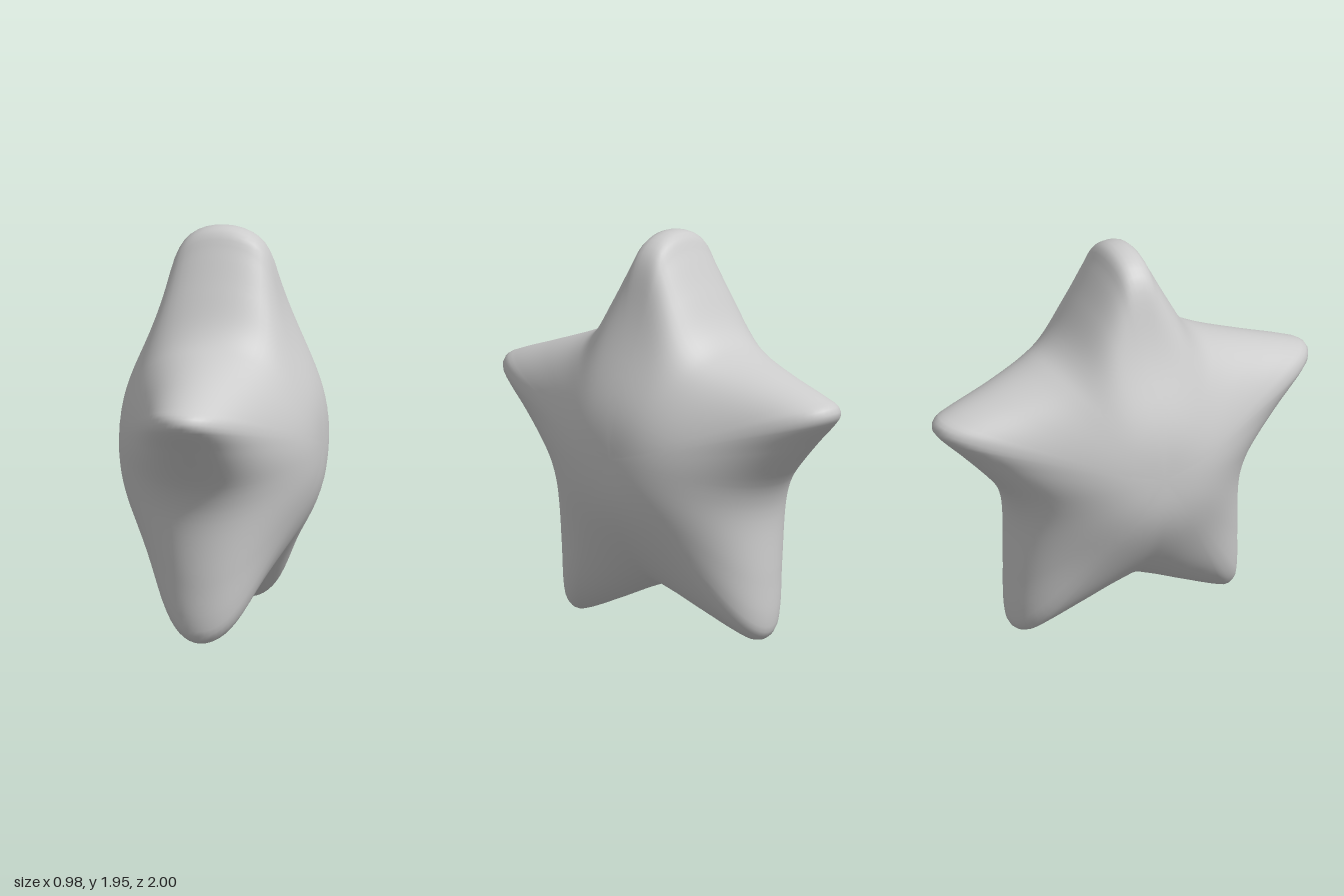
import * as THREE from 'three';

// Half outline of the star as [z, y], from the top point down to the crotch
const HALF = [
  [0, 1.95], [0.06, 1.935], [0.11, 1.85], [0.2, 1.68], [0.3, 1.51], [0.37, 1.44], [0.46, 1.395],
  [0.7, 1.31], [0.92, 1.235], [0.985, 1.205], [1, 1.165], [0.97, 1.12], [0.85, 1.0], [0.66, 0.79],
  [0.615, 0.7], [0.595, 0.6], [0.6, 0.3], [0.603, 0.1], [0.59, 0.03], [0.55, 0], [0.5, 0.01],
  [0.3, 0.09], [0.1, 0.175], [0, 0.205],
];
const CENTRE_Y = 0.9;

// Half thickness at distance r from the centre, t = fraction of the way to the outline
function halfThickness(r, t, up) {
  const dome = 0.19 + 0.3 / (1 + Math.pow(r / 0.55, 3));
  const power = 5 + 9 * Math.pow(Math.max(0, up), 6); // the top point is blunter
  return dome * Math.sqrt(Math.max(0, 1 - Math.pow(t, power)));
}

function puffyStar(columns, rows) {
  const mirrored = HALF.slice(1, -1).reverse().map(([z, y]) => [-z, y]);
  const curve = new THREE.CatmullRomCurve3(
    [...HALF, ...mirrored].map(([z, y]) => new THREE.Vector3(0, y, z)), true);
  const outline = curve.getSpacedPoints(columns).slice(0, columns);

  // Rings run from the right pole (-x) over the rim to the left pole (+x)
  const positions = [-halfThickness(0, 0, 0), CENTRE_Y, 0];
  for (let j = 1; j < rows; j++) {
    const a = (j / rows - 0.5) * Math.PI;
    const t = j * 2 === rows ? 1 : Math.cos(a);
    for (const p of outline) {
      const dy = p.y - CENTRE_Y;
      const R = Math.hypot(dy, p.z);
      const x = Math.sign(a) * halfThickness(R * t, t, dy / R);
      positions.push(x, CENTRE_Y + dy * t, p.z * t);
    }
  }
  positions.push(halfThickness(0, 0, 0), CENTRE_Y, 0);

  const last = positions.length / 3 - 1;
  const at = (j, i) => (j === 0 ? 0 : j === rows ? last : 1 + (j - 1) * columns + (i % columns));
  const index = [];
  for (let j = 0; j < rows; j++) {
    for (let i = 0; i < columns; i++) {
      if (j > 0) index.push(at(j, i), at(j, i + 1), at(j + 1, i));
      if (j < rows - 1) index.push(at(j, i + 1), at(j + 1, i + 1), at(j + 1, i));
    }
  }
  const geometry = new THREE.BufferGeometry();
  geometry.setAttribute('position', new THREE.Float32BufferAttribute(positions, 3));
  geometry.setIndex(index);
  geometry.computeVertexNormals();
  return geometry;
}

export function createModel() {
  const group = new THREE.Group();
  group.name = 'star';
  const body = new THREE.Mesh(puffyStar(240, 40), new THREE.MeshStandardMaterial({ color: 0xcccccc }));
  body.name = 'starBody';
  group.add(body);
  return group;
}
